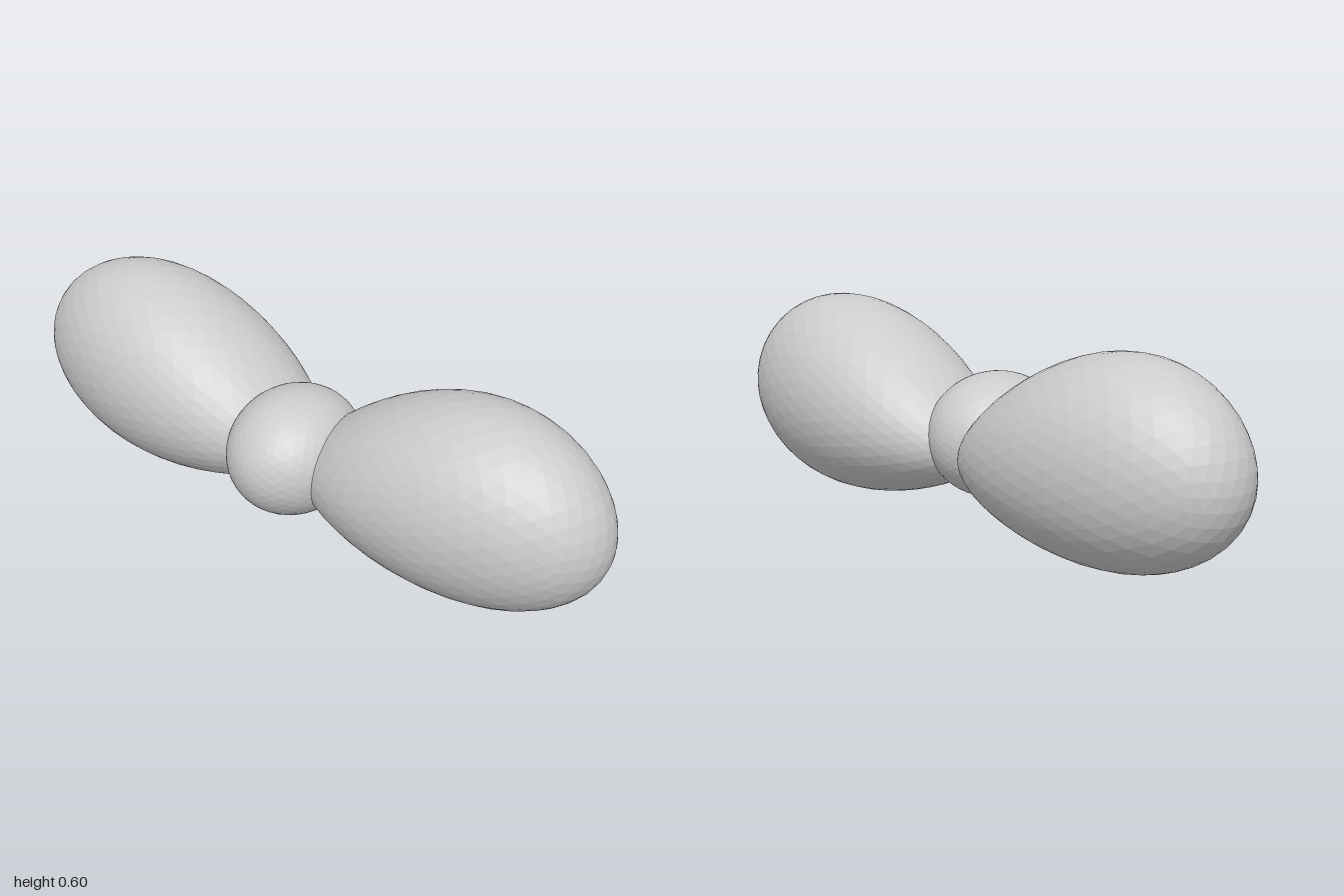
import * as THREE from 'three';

const material = new THREE.MeshStandardMaterial({ color: 0xcccccc, flatShading: true });

// Faceted unit ball whose vertices are moved by a rule
function shapedBall(name, rule) {
  const geometry = new THREE.IcosahedronGeometry(1, 7);
  const pos = geometry.attributes.position;
  const p = new THREE.Vector3();
  for (let i = 0; i < pos.count; i++) {
    rule(p.fromBufferAttribute(pos, i));
    pos.setXYZ(i, p.x, p.y, p.z);
  }
  geometry.computeVertexNormals();
  const mesh = new THREE.Mesh(geometry, material);
  mesh.name = name;
  return mesh;
}

// Bow lobe: an egg that tapers towards the knot; side is +1 (left) or -1 (right)
function lobe(name, side) {
  return shapedBall(name, (p) => {
    const u = p.x * side; // -1 at the knot, +1 at the outer end
    const height = 0.292 + 0.07 * u - 0.035 * u * u;
    const middle = 0.292 + 0.045 * u - 0.04 * u * u;
    p.set(side * (0.5 + 0.5 * u), middle + height * p.y, -0.012 + 0.272 * p.z);
  });
}

export function createModel() {
  const bow = new THREE.Group();
  bow.name = 'bow';
  bow.add(lobe('leftLobe', 1), lobe('rightLobe', -1));

  // Central knot, set slightly forward
  bow.add(shapedBall('knot', (p) => p.set(0.19 * p.x, 0.252 + 0.187 * p.y, 0.062 + 0.218 * p.z)));
  return bow;
}
